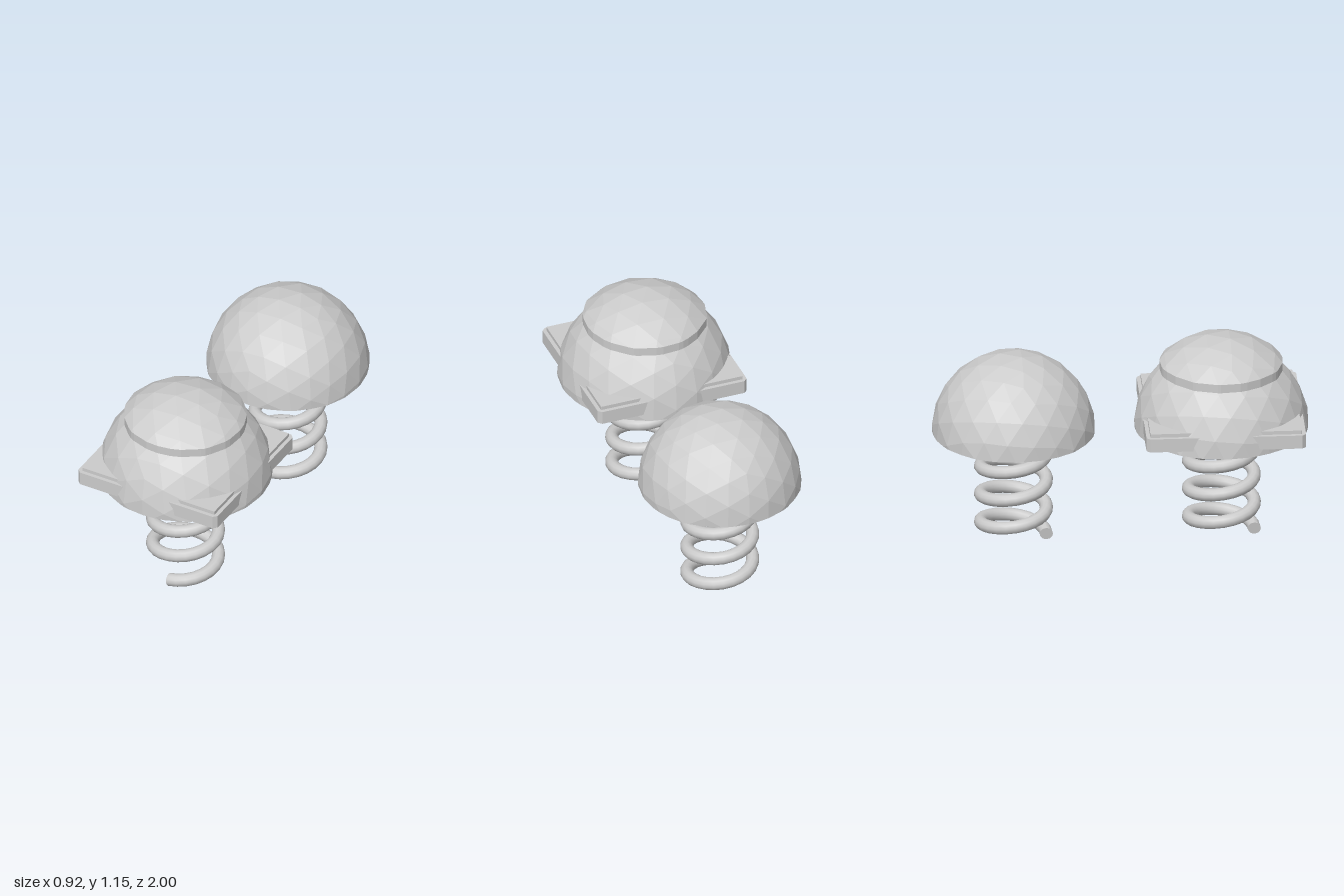
import * as THREE from 'three';

const flat = new THREE.MeshStandardMaterial({ color: 0xcccccc, flatShading: true });
const smooth = new THREE.MeshStandardMaterial({ color: 0xcccccc, side: THREE.DoubleSide });
const BASE = 0.64; // height of the dome undersides

function addMesh(parent, name, geometry, material, y = 0) {
  const mesh = new THREE.Mesh(geometry, material);
  mesh.name = name;
  mesh.position.y = y;
  parent.add(mesh);
  return mesh;
}

function fromPoints(points) {
  const g = new THREE.BufferGeometry().setFromPoints(points);
  g.computeVertexNormals();
  return g;
}

// Cut a polygon at a height; keep the part above (sign 1) or below (sign -1)
function cut(poly, height, sign) {
  const out = [];
  poly.forEach((a, i) => {
    const b = poly[(i + 1) % poly.length];
    const da = (a.y - height) * sign, db = (b.y - height) * sign;
    if (da >= 0) out.push(a);
    if ((da > 0 && db < 0) || (da < 0 && db > 0)) {
      const p = a.clone().lerp(b, da / (da - db));
      p.y = height;
      out.push(p);
    }
  });
  return out;
}

// Slice of a faceted sphere between two heights, with the edges along each cut
function sphereSlice(radius, low, high) {
  const pos = new THREE.IcosahedronGeometry(radius, 3).rotateX(0.1).rotateZ(0.07).attributes.position;
  const triangles = [], lowEdges = [], highEdges = [];
  for (let i = 0; i < pos.count; i += 3) {
    const tri = [0, 1, 2].map((k) => new THREE.Vector3().fromBufferAttribute(pos, i + k));
    const poly = cut(cut(tri, low, 1), high, -1);
    if (poly.length < 3) continue;
    for (let k = 1; k < poly.length - 1; k++) triangles.push(poly[0], poly[k], poly[k + 1]);
    poly.forEach((a, k) => {
      const b = poly[(k + 1) % poly.length];
      if (a.y === low && b.y === low) lowEdges.push([a, b]);
      if (a.y === high && b.y === high) highEdges.push([a, b]);
    });
  }
  return { triangles, lowEdges, highEdges };
}

// Flat underside closing a dome
function underside(edges) {
  return fromPoints(edges.flatMap(([a, b]) => [b, a, new THREE.Vector3(0, a.y, 0)]));
}

// Square plate with clipped corners
function plateGeometry(half, clip, depth) {
  const c = half - clip;
  const outline = [[half, -c], [half, c], [c, half], [-c, half], [-half, c], [-half, -c], [-c, -half], [c, -half]];
  const shape = new THREE.Shape(outline.map(([x, y]) => new THREE.Vector2(x, y)));
  return new THREE.ExtrudeGeometry(shape, { depth, bevelEnabled: false }).rotateX(-Math.PI / 2);
}

class Helix extends THREE.Curve {
  getPoint(t, target = new THREE.Vector3()) {
    const angle = t * Math.PI * 8;
    return target.set(0.175 * Math.sin(angle), 0.036 + 0.64 * t, 0.175 * Math.cos(angle));
  }
}

// Coil of four turns with a closed lower end
function addSpring(parent) {
  const spring = new THREE.Group();
  spring.name = 'spring';
  const path = new Helix();
  addMesh(spring, 'coil', new THREE.TubeGeometry(path, 96, 0.035, 12), smooth);
  const end = addMesh(spring, 'coilEnd', new THREE.CircleGeometry(0.035, 12), smooth);
  end.position.copy(path.getPoint(0));
  end.lookAt(end.position.clone().sub(path.getTangent(0)));
  parent.add(spring);
}

function plainBumper() {
  const group = new THREE.Group();
  group.name = 'plainBumper';
  const dome = sphereSlice(0.435, 0, 1);
  addMesh(group, 'dome', fromPoints(dome.triangles), flat, BASE);
  addMesh(group, 'domeUnderside', underside(dome.lowEdges), flat, BASE);
  addSpring(group);
  return group;
}

function plateBumper() {
  const group = new THREE.Group();
  group.name = 'plateBumper';
  const split = 0.325, bandHeight = 0.047;
  const lower = sphereSlice(0.465, 0, split);
  const cap = sphereSlice(0.465, split, 1);
  addMesh(group, 'lowerDome', fromPoints(lower.triangles), flat, BASE);
  addMesh(group, 'domeUnderside', underside(lower.lowEdges), flat, BASE);

  // Upright band lifting the cap off the lower dome
  const up = new THREE.Vector3(0, bandHeight, 0);
  const band = lower.highEdges.flatMap(([a, b]) => {
    const a2 = a.clone().add(up), b2 = b.clone().add(up);
    return [b, a, a2, b, a2, b2];
  });
  addMesh(group, 'band', fromPoints(band), flat, BASE);
  addMesh(group, 'cap', fromPoints(cap.triangles), flat, BASE + bandHeight);

  // Square plate whose corners stick out of the dome, with a raised step
  addMesh(group, 'plate', plateGeometry(0.423, 0.02, 0.075), flat, 0.675);
  addMesh(group, 'plateStep', plateGeometry(0.402, 0.003, 0.03), flat, 0.74);
  addSpring(group);
  return group;
}

export function createModel() {
  const model = new THREE.Group();
  model.name = 'springBumpers';
  const front = plateBumper();
  front.position.z = 0.535;
  const rear = plainBumper();
  rear.position.z = -0.567;
  model.add(front, rear);
  return model;
}
